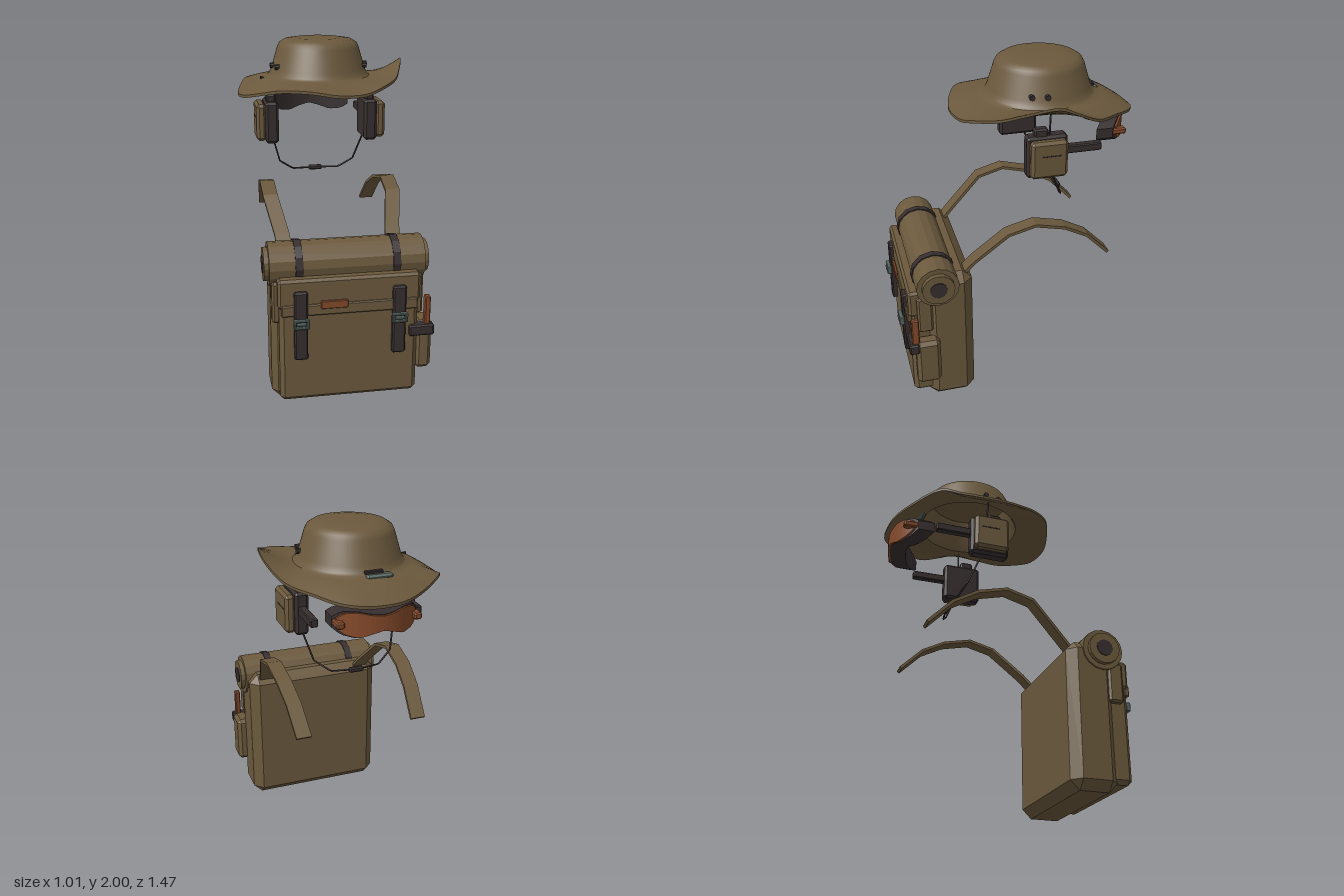
import * as THREE from 'three';
import { toCreasedNormals } from 'three/addons/utils/BufferGeometryUtils.js';
import { ConvexGeometry } from 'three/addons/geometries/ConvexGeometry.js';

const mat = (name, color) => {
  const m = new THREE.MeshStandardMaterial({ color });
  m.name = name;
  return m;
};

export function createModel() {
  const canvas = mat('brown canvas', 0x6b593d);
  const dark = mat('dark webbing', 0x372e2f);
  const orange = mat('burnt orange', 0x84492a);
  const metal = mat('grey green metal', 0x5a6963);

  const root = new THREE.Group();
  root.name = 'fieldKit';
  const section = (name, x) => {
    const g = new THREE.Group();
    g.name = name;
    g.position.x = x;
    root.add(g);
    return g;
  };
  const pack = section('backpack', 0.02);
  const head = section('headgear', -0.017);

  const add = (parent, name, geo, material) => {
    const m = new THREE.Mesh(geo, material);
    m.name = name;
    parent.add(m);
    return m;
  };
  const flat = (geo) => {
    const g = geo.index ? geo.toNonIndexed() : geo;
    g.computeVertexNormals();
    return g;
  };
  // Box with chamfered edges, given by its limits on each axis
  const block = (parent, name, material, [x0, x1], [y0, y1], [z0, z1], b = 0.01) => {
    const w = (x1 - x0) / 2, h = (y1 - y0) / 2, d = (z1 - z0) / 2, pts = [];
    for (const sx of [-1, 1]) for (const sy of [-1, 1]) for (const sz of [-1, 1]) {
      pts.push(new THREE.Vector3(sx * w, sy * (h - b), sz * (d - b)));
      pts.push(new THREE.Vector3(sx * (w - b), sy * h, sz * (d - b)));
      pts.push(new THREE.Vector3(sx * (w - b), sy * (h - b), sz * d));
    }
    const m = add(parent, name, new ConvexGeometry(pts), material);
    m.position.set((x0 + x1) / 2, (y0 + y1) / 2, (z0 + z1) / 2);
    return m;
  };
  // Faceted cylinder lying along x
  const roller = (parent, name, material, r, len, x, y, z, sides = 16) => {
    const m = add(parent, name, flat(new THREE.CylinderGeometry(r, r, len, sides).rotateZ(Math.PI / 2)), material);
    m.position.set(x, y, z);
    return m;
  };
  const span = (s, a, b) => (s > 0 ? [a, b] : [-b, -a]);

  // Pack body, front pocket and flap
  block(pack, 'packBody', canvas, [-0.43, 0.43], [0, 0.885], [0.3, 0.585], 0.055);
  block(pack, 'frontPocket', canvas, [-0.395, 0.395], [0.05, 0.75], [0.5, 0.675], 0.025);
  block(pack, 'topFlap', canvas, [-0.402, 0.402], [0.62, 0.79], [0.5, 0.682], 0.015);
  block(pack, 'flapHem', canvas, [-0.385, 0.385], [0.58, 0.645], [0.66, 0.693], 0.006);
  block(pack, 'label', orange, [-0.165, -0.015], [0.62, 0.665], [0.685, 0.702], 0.003);

  for (const s of [-1, 1]) {
    block(pack, 'flapSide', canvas, span(s, 0.38, 0.43), [0.52, 0.76], [0.545, 0.635], 0.012);

    // Closing straps with open buckles
    block(pack, 'closingStrap', dark, span(s, 0.24, 0.315), [0.32, 0.725], [0.665, 0.708], 0.008);
    for (const e of [-1, 1]) {
      block(pack, 'buckleBar', metal, span(s, 0.234, 0.321), [0.537 + e * 0.021, 0.549 + e * 0.021], [0.7, 0.73], 0.004);
      const cx = s * 0.2775 + e * 0.037;
      block(pack, 'buckleSide', metal, [cx - 0.007, cx + 0.007], [0.516, 0.57], [0.7, 0.73], 0.004);
    }
    block(pack, 'bucklePin', metal, span(s, 0.25, 0.305), [0.538, 0.548], [0.705, 0.735], 0.003);

    // Bedroll ends and holding bands
    roller(pack, 'bedrollEnd', canvas, 0.095, 0.03, s * 0.452, 0.832, 0.51);
    roller(pack, 'bedrollCore', dark, 0.05, 0.04, s * 0.452, 0.832, 0.51, 12);
    roller(pack, 'bedrollBand', dark, 0.133, 0.042, s * 0.275, 0.832, 0.51, 12);
  }
  roller(pack, 'bedroll', canvas, 0.125, 0.88, 0, 0.832, 0.51);

  // Side pouch with a handle held by a clip
  block(pack, 'sidePouch', canvas, [0.39, 0.485], [0.18, 0.48], [0.515, 0.66], 0.022);
  block(pack, 'toolHandle', orange, [0.433, 0.465], [0.42, 0.64], [0.635, 0.68], 0.006);
  block(pack, 'pouchClip', dark, [0.34, 0.485], [0.41, 0.475], [0.64, 0.7], 0.008);

  // Shoulder straps follow a path of [x, y, z]
  const path = [[0.322, 0.85, 0.345], [0.33, 0.92, 0.28], [0.375, 1.1, 0.09], [0.378, 1.143, -0.07],
    [0.372, 1.1, -0.245], [0.36, 1.02, -0.39], [0.347, 0.877, -0.53]];
  for (const s of [-1, 1]) {
    const n = path.length - 1;
    const geo = new THREE.BoxGeometry(0.088, 0.018, 1, 1, 1, n);
    const p = geo.attributes.position;
    for (let i = 0; i < p.count; i++) {
      const k = Math.round((0.5 - p.getZ(i)) * n);
      const a = path[Math.max(0, k - 1)], b = path[Math.min(n, k + 1)];
      const dy = b[1] - a[1], dz = b[2] - a[2], len = Math.hypot(dy, dz), o = p.getY(i) / len;
      p.setXYZ(i, s * path[k][0] + p.getX(i), path[k][1] - dz * o, path[k][2] + dy * o);
    }
    add(pack, 'shoulderStrap', flat(geo), canvas);
  }

  // Hat: rows from crown top to the wavy rim, then back underneath
  const rim = new THREE.CatmullRomCurve3([
    [0.02, 1.73, 0.33], [0.18, 1.73, 0.3], [0.29, 1.76, 0.244], [0.39, 1.79, 0.128], [0.443, 1.83, 0],
    [0.493, 1.87, -0.174], [0.485, 1.83, -0.27], [0.42, 1.75, -0.418], [0.31, 1.72, -0.56], [0.215, 1.7, -0.677],
    [0.137, 1.69, -0.72], [0.04, 1.68, -0.73], [-0.13, 1.68, -0.71], [-0.28, 1.7, -0.63], [-0.435, 1.73, -0.495],
    [-0.48, 1.7, -0.387], [-0.51, 1.68, -0.174], [-0.48, 1.69, -0.02], [-0.405, 1.72, 0.116],
    [-0.29, 1.75, 0.228], [-0.133, 1.75, 0.298],
  ].map(([x, y, z]) => new THREE.Vector3(x + 0.017, y, z + 0.205)), true);
  const crown = [[0, 2], [0.45, 2], [0.66, 1.99], [0.76, 1.97], [0.8, 1.945], [0.92, 1.82], [0.97, 1.788], [1.01, 1.777]];
  const brim = [0.2, 0.4, 0.6, 0.8, 1];
  const inside = [[0.95, 1.765], [0.88, 1.81], [0.74, 1.96], [0, 1.98]];
  const rows = [
    ...crown.map(([k, y]) => ({ k, y })),
    ...brim.map((t) => ({ t, drop: 0 })),
    ...brim.slice().reverse().map((t) => ({ t, drop: 0.016 })),
    ...inside.map(([k, y]) => ({ k, y })),
  ];
  const cols = 84, verts = [], idx = [];
  rows.forEach(({ k, y, t, drop }, i) => {
    for (let j = 0; j < cols; j++) {
      const e = rim.getPoint(j / cols);
      const a = Math.atan2(e.x, e.z), bx = 0.31 * Math.sin(a), bz = 0.325 * Math.cos(a);
      if (t === undefined) verts.push(bx * k, y, bz * k - 0.205);
      else verts.push(bx + (e.x - bx) * t, 1.775 + (e.y - 1.775) * t ** 1.4 - drop, bz + (e.z - bz) * t - 0.205);
      if (i === rows.length - 1) continue;
      const A = i * cols + j, D = i * cols + (j + 1) % cols;
      idx.push(A, A + cols, D + cols, A, D + cols, D);
    }
  });
  const hat = new THREE.BufferGeometry();
  hat.setAttribute('position', new THREE.Float32BufferAttribute(verts, 3));
  hat.setIndex(idx);
  add(head, 'brimmedHat', toCreasedNormals(hat, 0.7), canvas);

  // Badge at the crown base, eyelets and brim rivet
  block(head, 'hatBadge', metal, [-0.12, 0.035], [1.755, 1.785], [-0.56, -0.51], 0.012);
  block(head, 'badgeStrip', dark, [-0.07, 0.035], [1.782, 1.8], [-0.535, -0.505], 0.004);
  roller(head, 'brimRivet', dark, 0.009, 0.016, -0.35, 1.768, -0.18, 8);

  for (const s of [-1, 1]) {
    roller(head, 'eyelet', dark, 0.016, 0.03, s * 0.282, 1.84, -0.174, 8);
    roller(head, 'eyelet', dark, 0.016, 0.03, s * 0.262, 1.84, -0.09, 8);

    // Ear cups
    block(head, 'earCup', dark, span(s, 0.262, 0.342), [1.385, 1.635], [-0.282, -0.045], 0.015);
    block(head, 'earCupKnob', dark, span(s, 0.275, 0.33), [1.62, 1.676], [-0.17, -0.09], 0.01);
    block(head, 'earCupCover', canvas, span(s, 0.335, 0.395), [1.4, 1.622], [-0.27, -0.057], 0.017);
    block(head, 'coverSeam', dark, span(s, 0.392, 0.397), [1.534, 1.54], [-0.23, -0.12], 0.001);
    block(head, 'earCupArm', dark, span(s, 0.28, 0.325), [1.507, 1.555], [-0.49, -0.27], 0.006);

    // Chin cord
    const cord = new THREE.CurvePath();
    const pts = [[0.34, 1.77, -0.175], [0.315, 1.64, -0.18], [0.283, 1.385, -0.207], [0.236, 1.22, -0.275],
      [0.147, 1.157, -0.315], [0.02, 1.155, -0.333]].map(([x, y, z]) => new THREE.Vector3(s * x, y, z));
    for (let i = 1; i < pts.length; i++) cord.add(new THREE.LineCurve3(pts[i - 1], pts[i]));
    add(head, 'chinCord', new THREE.TubeGeometry(cord, 40, 0.0055, 6), dark);
  }
  block(head, 'cordToggle', dark, [-0.043, 0.043], [1.14, 1.169], [-0.348, -0.318], 0.007);

  // Goggles: a box bent around the face with a nose dip
  const ts = [0, 0.25, 0.55, 0.85, 1], tops = [0.052, 0.058, 0.073, 0.066, 0.03], lows = [-0.035, -0.05, -0.075, -0.062, -0.03];
  const lerpAt = (list, t) => {
    const i = Math.max(0, ts.findIndex((v, k) => k > 0 && t <= v + 1e-6) - 1);
    return THREE.MathUtils.lerp(list[i], list[i + 1], (t - ts[i]) / (ts[i + 1] - ts[i]));
  };
  const bent = (name, material, size, depth, z) => {
    const geo = new THREE.BoxGeometry(2, 2, depth, 20, 1, 1), p = geo.attributes.position;
    for (let i = 0; i < p.count; i++) {
      const x = p.getX(i) * 0.242 * size;
      const y = lerpAt(p.getY(i) > 0 ? tops : lows, Math.min(1, Math.abs(p.getX(i))));
      p.setXYZ(i, x, 1.567 + y * size, z + p.getZ(i) + 2 * x * x);
    }
    add(head, name, flat(geo), material);
  };
  bent('goggleFrame', dark, 1, 0.1, -0.652);
  bent('goggleLens', orange, 0.93, 0.03, -0.7);
  for (const s of [-1, 1]) block(head, 'goggleKnob', orange, span(s, 0.195, 0.24), [1.55, 1.587], [-0.67, -0.58], 0.008);

  return root;
}
